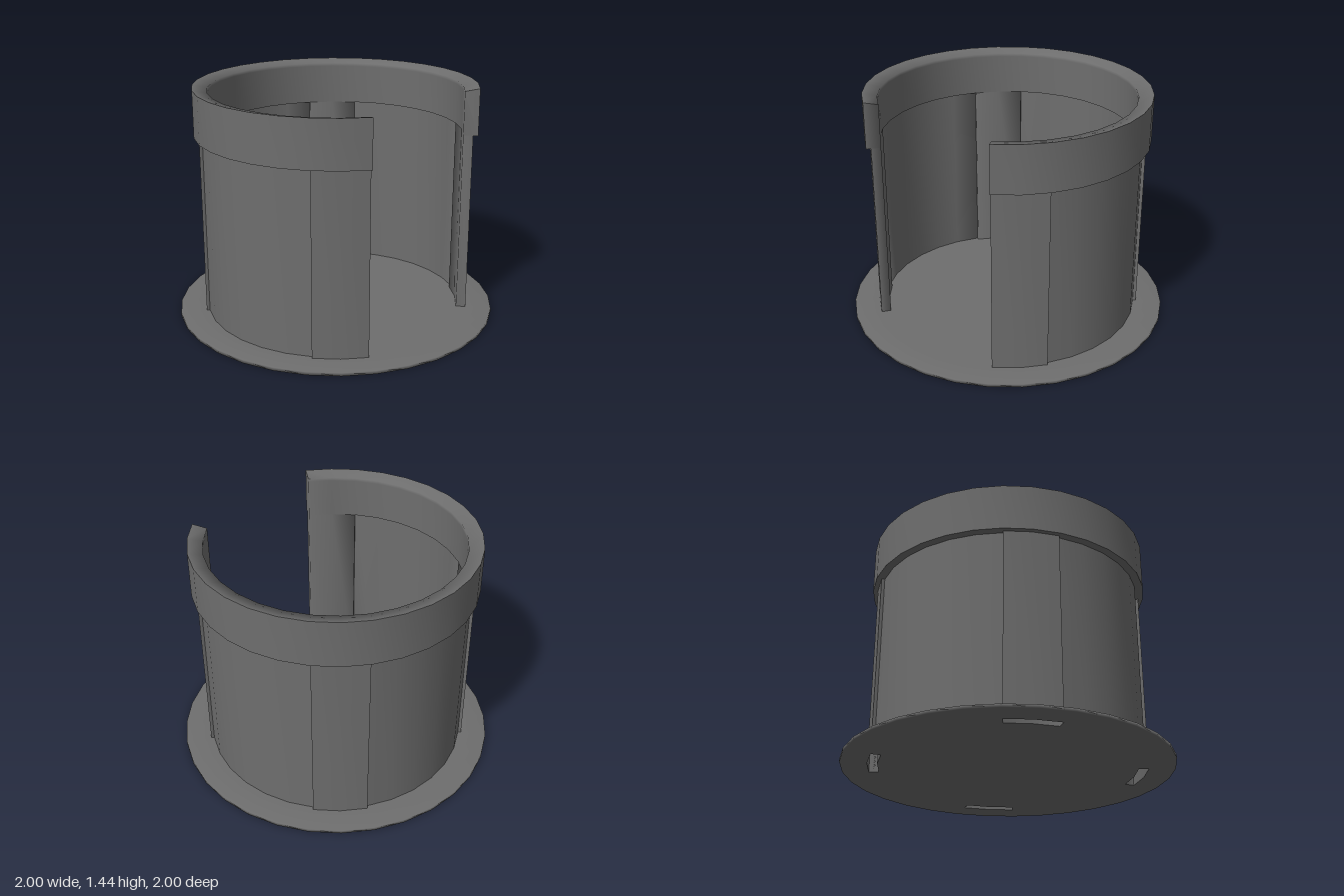
import * as THREE from 'three';
import { mergeGeometries, toCreasedNormals } from 'three/addons/utils/BufferGeometryUtils.js';

const STEP = Math.PI / 16; // 32 sides all round; angle 0 faces +z
const material = new THREE.MeshStandardMaterial({ color: 0x6e6e6e, side: THREE.DoubleSide });

const toVectors = (pairs) => pairs.map(([r, y]) => new THREE.Vector2(r, y));

function addMesh(group, name, geometry) {
  const mesh = new THREE.Mesh(geometry, material);
  mesh.name = name;
  group.add(mesh);
}

// Sweeps a counter-clockwise (radius, height) profile between two steps and closes both ends
function arcSolid(profile, from, to, openBottom = false) {
  const points = toVectors(profile);
  const swept = openBottom ? points : [...points, points[0].clone()];
  const body = new THREE.LatheGeometry(swept, to - from, from * STEP, (to - from) * STEP);
  const cap = (step, flip) => {
    const geometry = new THREE.ShapeGeometry(new THREE.Shape(points));
    if (flip) geometry.setIndex(Array.from(geometry.index.array).reverse());
    return geometry.rotateY(step * STEP - Math.PI / 2);
  };
  return toCreasedNormals(mergeGeometries([body, cap(from, false), cap(to, true)]), 1.5);
}

// Thin base disc: flat centre notched at the four slots, plus an outer ring with a softened edge
function baseDisc() {
  const ringPoint = (r, step) => new THREE.Vector2(r * Math.sin(step * STEP), r * Math.cos(step * STEP));
  const outline = [];
  for (let side = 0; side < 32; side += 8) {
    [3, 4, 5].forEach((s) => {
      if (s === 3) outline.push(ringPoint(0.84, side + s));
      outline.push(ringPoint(0.78, side + s));
      if (s === 5) outline.push(ringPoint(0.84, side + s));
    });
    for (let s = 6; s < 11; s++) outline.push(ringPoint(0.84, side + s));
  }
  const shape = new THREE.Shape(outline);
  const top = new THREE.ShapeGeometry(shape).rotateX(-Math.PI / 2).translate(0, 0.02, 0);
  const bottom = new THREE.ShapeGeometry(shape).rotateX(Math.PI / 2);
  const ring = new THREE.LatheGeometry(toVectors([[0.84, 0], [1, 0], [1, 0.02], [0.84, 0.02]]), 32);
  return mergeGeometries([top, bottom, ring]);
}

export function createModel() {
  const group = new THREE.Group();
  group.name = 'openFrontHolder';
  addMesh(group, 'baseDisc', baseDisc());

  // Four hollow posts on the diagonals, open underneath through the slots
  const postProfile = [[0.84, 0], [0.84, 1.15], [0.78, 1.15], [0.78, 0]];
  ['frontLeftPost', 'backLeftPost', 'backRightPost', 'frontRightPost'].forEach((name, i) => {
    addMesh(group, name, arcSolid(postProfile, 3 + 8 * i, 5 + 8 * i, true));
  });

  // Thin wall panels between the posts, leaving the front open
  const wallProfile = [[0.8, 0.02], [0.82, 0.02], [0.82, 1.15], [0.8, 1.15]];
  ['leftWall', 'backWall', 'rightWall'].forEach((name, i) => {
    addMesh(group, name, arcSolid(wallProfile, 5 + 8 * i, 11 + 8 * i));
  });

  // Heavy collar whose top slopes inward to a softened inner edge
  const rimProfile = [[0.78, 1.15], [0.87, 1.15], [0.87, 1.44], [0.78, 1.42], [0.78, 1.4]];
  addMesh(group, 'topRim', arcSolid(rimProfile, 3, 29));

  return group;
}
